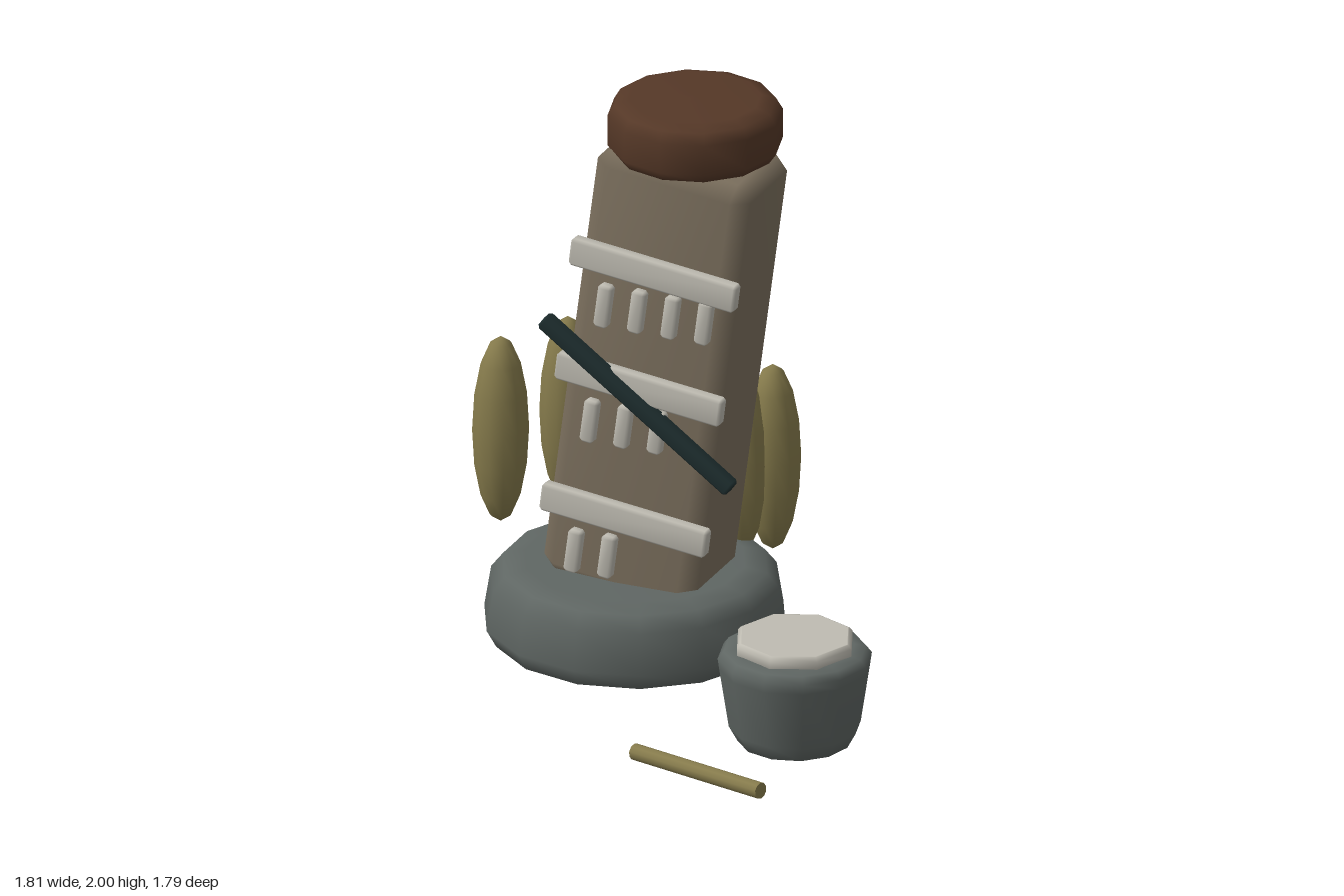
import * as THREE from 'three';
import { mergeVertices } from 'three/addons/utils/BufferGeometryUtils.js';
import { ConvexGeometry } from 'three/addons/geometries/ConvexGeometry.js';

const mat = (name, color) => Object.assign(new THREE.MeshStandardMaterial({ color }), { name });

// Box with one chamfer on every edge and soft shading across it
function chamferBox(w, h, d, c) {
  const points = [];
  const half = [w / 2, h / 2, d / 2];
  for (let axis = 0; axis < 3; axis++) {
    for (const sx of [-1, 1]) for (const sy of [-1, 1]) for (const sz of [-1, 1]) {
      const s = [sx, sy, sz];
      points.push(new THREE.Vector3(...half.map((v, i) => s[i] * (i === axis ? v : v - c))));
    }
  }
  const hull = new ConvexGeometry(points);
  hull.deleteAttribute('normal');
  const geo = mergeVertices(hull, 1e-5);
  geo.computeVertexNormals();
  return geo;
}

// Turned form from [radius, height] pairs, bottom to top
const turned = (profile, sides) =>
  new THREE.LatheGeometry(profile.map(([r, y]) => new THREE.Vector2(r, y)), sides);

export function createModel() {
  const model = new THREE.Group();
  model.name = 'leaningMarkerPost';

  const stone = mat('stone', 0x5f6663);
  const wood = mat('weatheredWood', 0x7d715f);
  const brown = mat('darkBrown', 0x553827);
  const pale = mat('paleBone', 0xbfbcb2);
  const dark = mat('darkTeal', 0x1e2e2f);
  const straw = mat('dryStraw', 0x867b4c);

  function add(name, geometry, material, x, y, z, tilt = 0) {
    const mesh = new THREE.Mesh(geometry, material);
    mesh.name = name;
    mesh.position.set(x, y, z);
    mesh.rotation.z = tilt;
    model.add(mesh);
    return mesh;
  }

  const lean = -0.132;

  // Stone base
  add('base', turned([[0, 0], [0.41, 0.003], [0.475, 0.03], [0.508, 0.09],
    [0.485, 0.23], [0.445, 0.28], [0.37, 0.297], [0, 0.297]], 14), stone, -0.204, 0, -0.285);

  // Leaning post and its cap
  add('post', chamferBox(0.555, 1.58, 0.41, 0.053), wood, -0.09, 1.028, -0.278, lean);
  add('cap', turned([[0, 1.79], [0.22, 1.792], [0.268, 1.806], [0.292, 1.84],
    [0.292, 1.945], [0.27, 1.982], [0.22, 1.998], [0, 2]], 12), brown, 0.014, 0, -0.283);

  // Crosswise bands, each with a shrinking row of tally pegs below
  const bandGeo = chamferBox(0.602, 0.098, 0.052, 0.01);
  const pegGeo = chamferBox(0.05, 0.154, 0.045, 0.01);
  const rows = [
    { x: -0.028, y: 1.447, pegX: -0.21, pegY: 1.303, pegs: 4 },
    { x: -0.08, y: 1.027, pegX: -0.26, pegY: 0.88, pegs: 3 },
    { x: -0.134, y: 0.545, pegX: -0.318, pegY: 0.402, pegs: 2 },
  ];
  for (const row of rows) {
    add('band', bandGeo, pale, row.x, row.y, -0.046, -0.125);
    for (let i = 0; i < row.pegs; i++) {
      add('tallyPeg', pegGeo, pale, row.pegX + i * 0.121, row.pegY, -0.045, lean);
    }
  }

  // Diagonal slash bar
  add('slashBar', chamferBox(0.84, 0.054, 0.06, 0.01), dark, -0.078, 0.98, -0.02, -0.63);

  // Tall spindle shrubs behind
  const shrubGeo = new THREE.SphereGeometry(1, 12, 8).scale(0.095, 0.333, 0.095);
  for (const [x, z] of [[-0.676, -0.805], [-0.812, -0.562], [0.106, -0.712], [0.024, -0.625]]) {
    add('shrub', shrubGeo, straw, x, 0.55, z);
  }

  // Drum with a pale octagonal skin
  add('drum', turned([[0, 0.012], [0.135, 0.014], [0.19, 0.035], [0.22, 0.09],
    [0.252, 0.3], [0.257, 0.335], [0.238, 0.36], [0.2, 0.367], [0, 0.367]], 12), stone, 0.642, 0, 0.325);
  add('drumSkin', turned([[0, 0.35], [0.194, 0.355], [0.205, 0.366], [0.205, 0.393],
    [0.194, 0.406], [0.19, 0.407]], 8), pale, 0.642, 0, 0.325);
  add('drumSkinTop', new THREE.CircleGeometry(0.19, 8).rotateX(-Math.PI / 2), pale, 0.642, 0.407, 0.325);

  // Beater lying on the ground
  const start = new THREE.Vector3(0.222, 0.058, 0.686);
  const end = new THREE.Vector3(0.757, 0.081, 0.866);
  const along = end.clone().sub(start);
  const mid = start.clone().add(end).multiplyScalar(0.5);
  const beater = add('beater', new THREE.CylinderGeometry(0.028, 0.028, along.length(), 10), straw, mid.x, mid.y, mid.z);
  beater.quaternion.setFromUnitVectors(new THREE.Vector3(0, 1, 0), along.normalize());

  return model;
}
